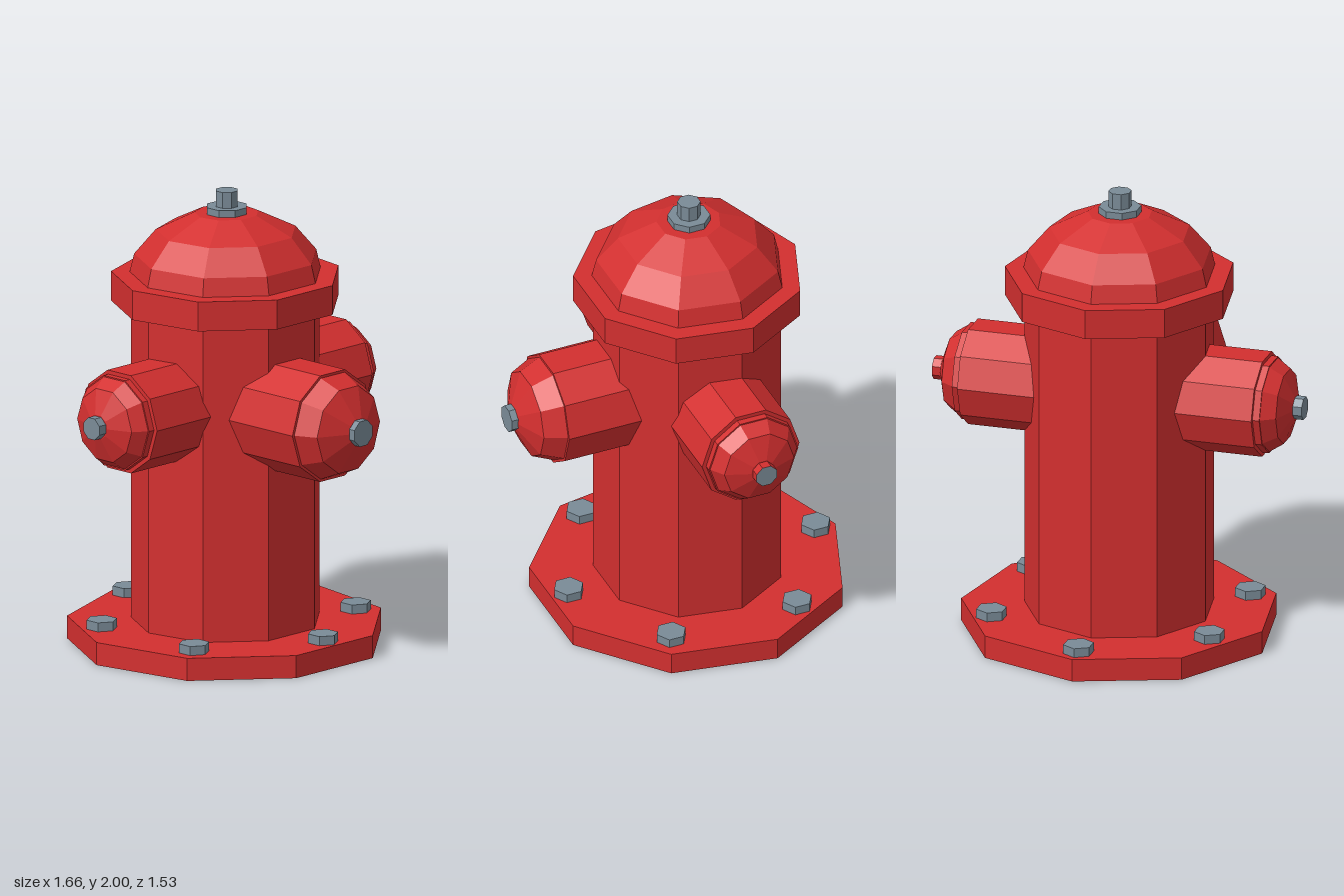
import * as THREE from 'three';

const AXIS_Z = -0.077; // centre line of the barrel

const red = new THREE.MeshStandardMaterial({ color: 0xd32f2f, side: THREE.DoubleSide });
red.name = 'red paint';
const steel = new THREE.MeshStandardMaterial({ color: 0x7a8b97 });
steel.name = 'grey steel';

// Faceted normals for the low-poly look
function facet(geometry) {
  const g = geometry.toNonIndexed();
  g.computeVertexNormals();
  return g;
}

function part(name, geometry, material) {
  const mesh = new THREE.Mesh(facet(geometry), material);
  mesh.name = name;
  return mesh;
}

// Profile of [radius, height] pairs turned around y
function turned(profile, sides, start) {
  return new THREE.LatheGeometry(profile.map(([r, y]) => new THREE.Vector2(r, y)), sides, start);
}

// Bolt standing on height y
function bolt(name, radius, y, height, sides, material = steel, turn = 0) {
  const g = new THREE.CylinderGeometry(radius, radius, height, sides, 1, false, turn);
  return part(name, g.translate(0, y + height / 2, 0), material);
}

// Outlet built along +y: barrel, domed cap and end nut
function outlet(name, barrel, cap, nut, start) {
  const group = new THREE.Group();
  group.name = name;
  group.add(
    part('outletBarrel', turned(barrel, 10, start), red),
    part('outletCap', turned(cap, 10, start), red),
    nut
  );
  return group;
}

export function createModel() {
  const model = new THREE.Group();
  model.name = 'hydrant';

  // Nine-sided stack: base ring, hollow body, collar and dome
  const stack = {
    baseFlange: [[0.41, 0], [0.686, 0], [0.686, 0.1], [0.41, 0.1]],
    body: [[0.412, 0], [0.412, 1.52]],
    collar: [[0.40, 1.5], [0.497, 1.5], [0.497, 1.63], [0.40, 1.63]],
    dome: [[0.417, 1.63], [0.398, 1.71], [0.305, 1.82], [0.14, 1.9], [0, 1.9]],
  };
  for (const [name, profile] of Object.entries(stack)) {
    const mesh = part(name, turned(profile, 9, Math.PI), red);
    mesh.position.z = AXIS_Z;
    model.add(mesh);
  }

  // Operating nut on top
  const topWasher = bolt('topWasher', 0.092, 1.895, 0.035, 8, steel, Math.PI / 8);
  const topNut = bolt('topNut', 0.05, 1.92, 0.08, 8, steel, Math.PI / 8);
  topWasher.position.z = topNut.position.z = AXIS_Z;
  model.add(topWasher, topNut);

  // Hexagonal bolts around the base
  const spots = [[0, -0.67], [0.485, -0.37], [-0.487, -0.35], [0.487, 0.22], [-0.495, 0.21], [0.01, 0.49]];
  for (const [x, z] of spots) {
    const b = bolt('baseBolt', 0.067, 0.03, 0.11, 6);
    b.position.set(x, 0, z);
    model.add(b);
  }

  // Side outlets; the left nut has painted sides and a bare end
  for (const side of [1, -1]) {
    const nutMaterial = side > 0 ? [red, steel, steel] : steel;
    const o = outlet(
      side > 0 ? 'leftOutlet' : 'rightOutlet',
      [[0.2275, 0.3], [0.2275, 0.66], [0.2, 0.66]],
      [[0.209, 0.65], [0.209, 0.69], [0.203, 0.69], [0.163, 0.75], [0.055, 0.79], [0, 0.79]],
      bolt('outletNut', 0.051, 0.77, 0.06, 8, nutMaterial, Math.PI / 8),
      0
    );
    o.rotation.z = -side * Math.PI / 2;
    o.position.set(0, 1.098, AXIS_Z);
    model.add(o);
  }

  // Larger front outlet
  const front = outlet(
    'frontOutlet',
    [[0.247, 0.15], [0.247, 0.58], [0.22, 0.58]],
    [[0.235, 0.57], [0.235, 0.58], [0.193, 0.675], [0.06, 0.735], [0, 0.735]],
    bolt('outletNut', 0.06, 0.715, 0.05, 8, steel, Math.PI / 8),
    Math.PI / 2
  );
  front.rotation.x = Math.PI / 2;
  front.position.set(-0.024, 1.081, 0);
  model.add(front);

  return model;
}
